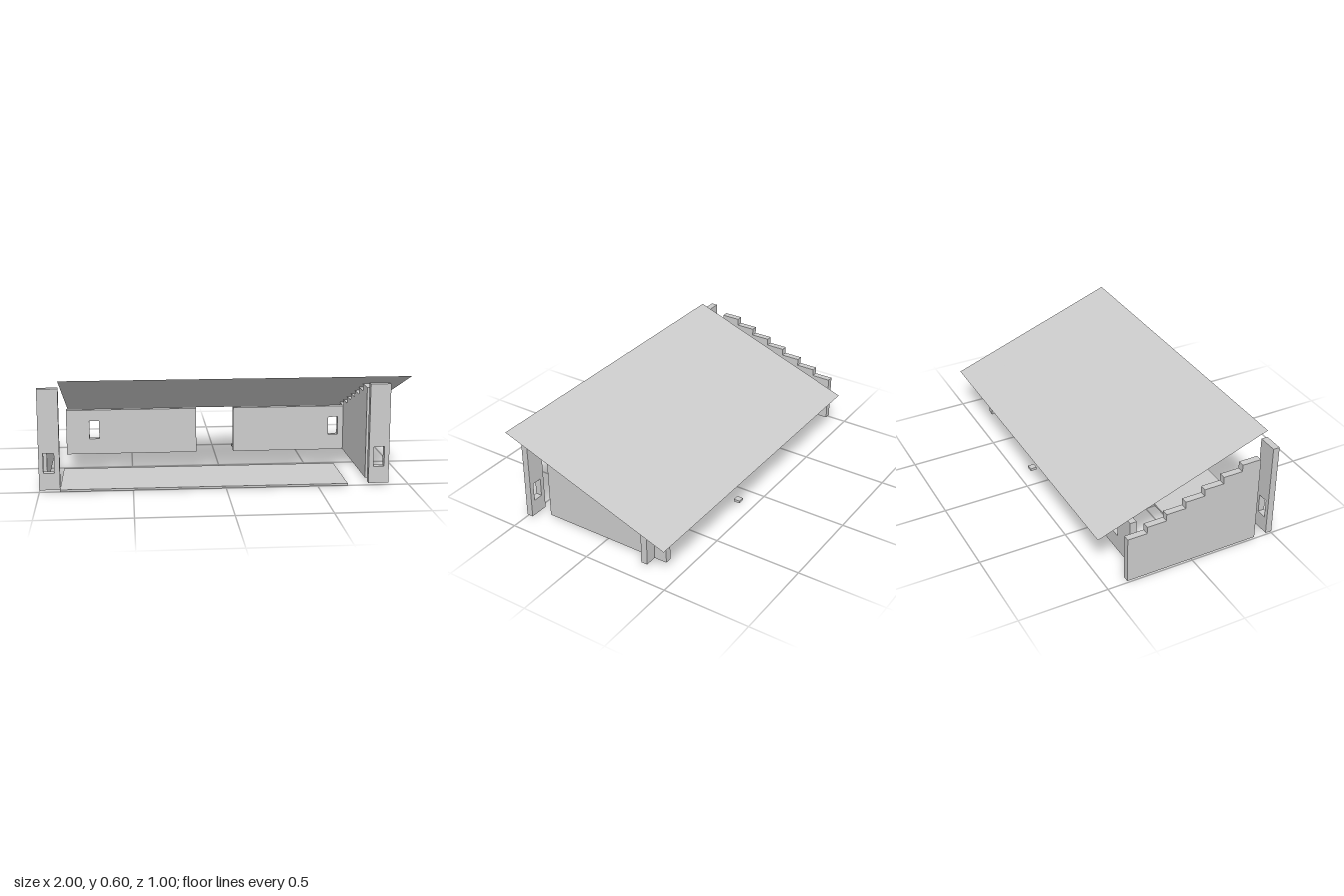
import * as THREE from 'three';

const BASE = 0.0113; // top of the floor slab, where the walls start
const T = 0.0375; // wall thickness

export function createModel() {
  const model = new THREE.Group();
  const material = new THREE.MeshStandardMaterial({ color: 0xcccccc, flatShading: true });

  const add = (name, geometry, mat = material) => {
    const mesh = new THREE.Mesh(geometry, mat);
    mesh.name = name;
    model.add(mesh);
  };

  const box = (name, x0, x1, y0, y1, z0, z1) => {
    const g = new THREE.BoxGeometry(x1 - x0, y1 - y0, z1 - z0);
    g.translate((x0 + x1) / 2, (y0 + y1) / 2, (z0 + z1) / 2);
    add(name, g);
  };

  const rect = (Type, x0, x1, y0, y1) => new Type([
    new THREE.Vector2(x0, y0), new THREE.Vector2(x1, y0),
    new THREE.Vector2(x1, y1), new THREE.Vector2(x0, y1),
  ]);

  // Upright panel facing z, with one small window cut through it
  const windowPanel = (name, x0, x1, top, z0, windowX) => {
    const shape = rect(THREE.Shape, x0, x1, BASE, top);
    shape.holes.push(rect(THREE.Path, windowX - 0.029, windowX + 0.029, 0.104, 0.213));
    const g = new THREE.ExtrudeGeometry(shape, { depth: T, bevelEnabled: false });
    g.translate(0, 0, z0);
    add(name, g);
  };

  // Side wall whose top steps down towards the back
  const steppedWall = (name, x0) => {
    const steps = 7, half = 0.389, run = (2 * half) / steps;
    const shape = new THREE.Shape();
    shape.moveTo(-half, BASE);
    shape.lineTo(half, BASE);
    for (let i = 0; i < steps; i++) {
      const y = 0.52 - i * 0.04;
      shape.lineTo(half - i * run, y);
      shape.lineTo(half - (i + 1) * run, y);
    }
    shape.closePath();
    const g = new THREE.ExtrudeGeometry(shape, { depth: T, bevelEnabled: false });
    g.rotateY(-Math.PI / 2); // profile runs along z, thickness along -x
    g.translate(x0 + T, 0, 0);
    add(name, g);
  };

  // Floor slab
  box('floor', -0.89, 0.665, 0, BASE, 0.058, 0.5);

  // Side walls
  steppedWall('rightSideWall', -1);
  steppedWall('leftSideWall', 0.7825);

  // Front posts
  windowPanel('rightFrontPost', -1, -0.889, 0.56, 0.5 - T, -0.947);
  windowPanel('leftFrontPost', 0.778, 0.889, 0.56, 0.5 - T, 0.833);

  // Back walls either side of the doorway
  windowPanel('rightBackWall', -0.889, -0.112, 0.28, -0.315, -0.723);
  windowPanel('leftBackWall', 0.112, 0.889, 0.28, -0.315, 0.721);

  // Small step block behind the doorway
  box('stepBlock', 0.112, 0.149, BASE, 0.026, -0.426, -0.389);

  // Thin roof sheet, high at the front and low at the back
  const roofMaterial = material.clone();
  roofMaterial.side = THREE.DoubleSide;
  const rise = 0.36, depth = 1;
  const roof = new THREE.PlaneGeometry(1.889, Math.hypot(rise, depth));
  roof.rotateX(-Math.PI / 2 - Math.atan2(rise, depth));
  roof.translate(0.0555, 0.42, 0);
  add('roof', roof, roofMaterial);

  return model;
}
